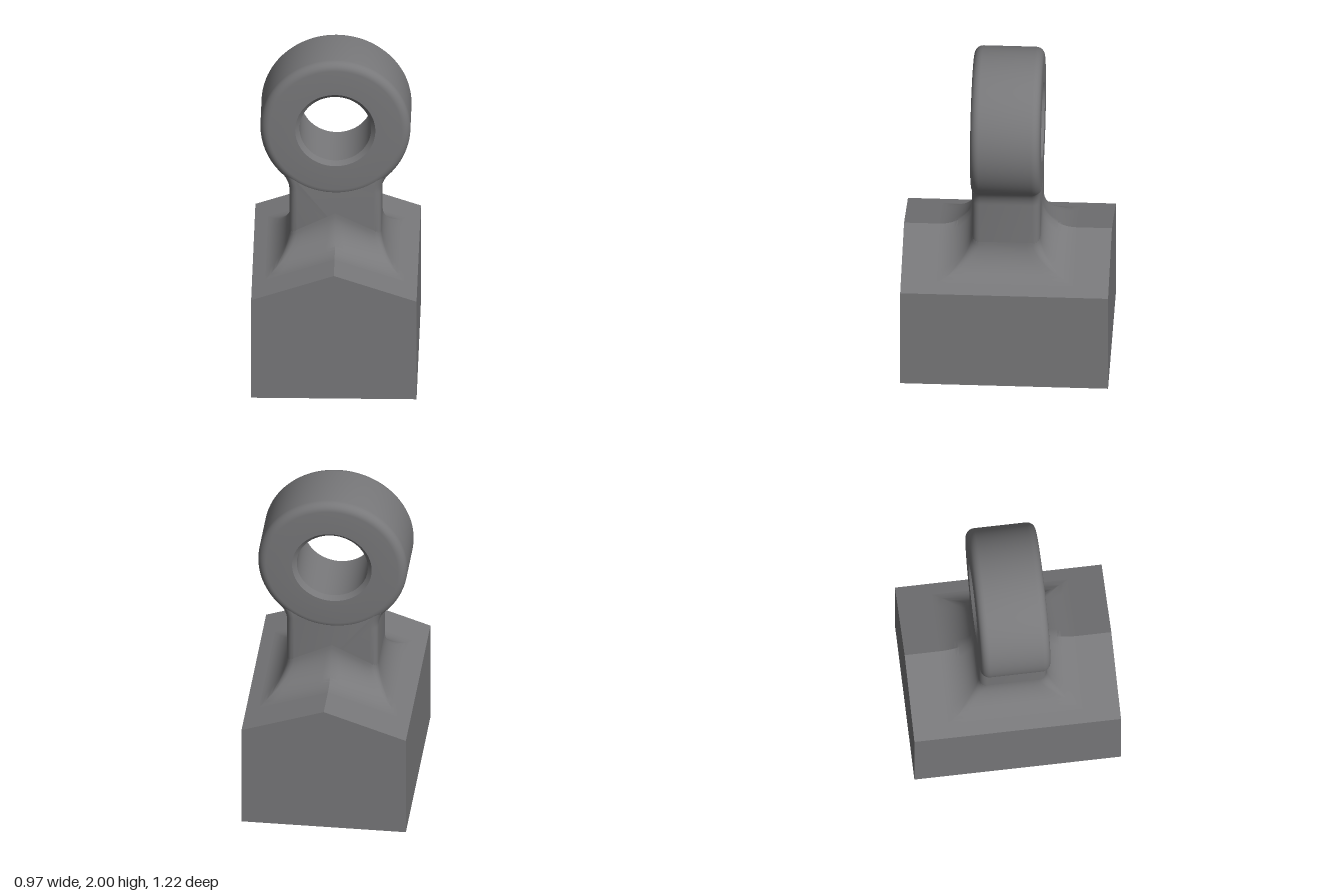
import * as THREE from 'three';
import { toCreasedNormals } from 'three/addons/utils/BufferGeometryUtils.js';

const EYE_Y = 1.56, EYE_R = 0.44, HOLE_R = 0.21, EYE_Z = 0.205;
const NECK_X = 0.27, NECK_Z = 0.2, ROUND = 0.045;
const roof = x => 0.81 - 0.34 * Math.abs(x);

// Block with a gently pitched top
function baseGeometry() {
  const s = new THREE.Shape();
  const w = 0.485;
  s.moveTo(-w, 0);
  s.lineTo(w, 0);
  s.lineTo(w, roof(w));
  s.lineTo(0, roof(0));
  s.lineTo(-w, roof(w));
  s.closePath();
  return new THREE.ExtrudeGeometry(s, { depth: 1.22, bevelEnabled: false }).translate(0, 0, -0.61);
}

// Ring with rounded outer rims and a chamfered hole
function eyeGeometry() {
  const r = 0.05, c = 0.025;
  const pts = [[HOLE_R, -EYE_Z + c], [HOLE_R + c, -EYE_Z]];
  for (const side of [-1, 1]) {
    for (let i = 0; i <= 6; i++) {
      const a = (side < 0 ? i - 6 : i) * Math.PI / 12;
      pts.push([EYE_R - r + r * Math.cos(a), side * (EYE_Z - r) + r * Math.sin(a)]);
    }
  }
  pts.push([HOLE_R + c, EYE_Z], [HOLE_R, EYE_Z - c], [HOLE_R, -EYE_Z + c]);
  const g = new THREE.LatheGeometry(pts.map(p => new THREE.Vector2(...p)), 96);
  return toCreasedNormals(g.rotateX(Math.PI / 2), 0.6);
}

// Shank that curves out to meet the ring
function neckGeometry() {
  const f = 0.16, cy = 1.143, steps = 10, right = [[NECK_X, 0.6]];
  for (let i = 0; i <= steps; i++) {
    const a = Math.PI - 0.77 * i / steps;
    right.push([NECK_X + f + f * Math.cos(a), cy + f * Math.sin(a)]);
  }
  right.push([0.25, 1.285]);
  const left = right.map(([x, y]) => [-x, y]).reverse();
  const s = new THREE.Shape([...right, ...left].map(p => new THREE.Vector2(...p)));
  const g = new THREE.ExtrudeGeometry(s, {
    depth: 2 * (NECK_Z - ROUND), bevelEnabled: true, bevelThickness: ROUND,
    bevelSize: ROUND, bevelOffset: -ROUND, bevelSegments: 5
  });
  return toCreasedNormals(g.translate(0, 0, -(NECK_Z - ROUND)), 0.6);
}

// One rounded rectangle section of the flare, starting at the front centre
function flareSection(a) {
  const out = 1 - Math.cos(a), up = 1 - Math.sin(a);
  const w = NECK_X + 0.136 * out, d = NECK_Z + 0.2 * out;
  const r = Math.max(0.003, ROUND * (1 - 1.3 * out));
  const q = [];
  for (let i = 0; i < 6; i++) q.push([(w - r) * i / 6, d]);
  for (let i = 0; i <= 4; i++) {
    const t = i * Math.PI / 8;
    q.push([w - r + r * Math.sin(t), d - r + r * Math.cos(t)]);
  }
  for (let i = 1; i <= 4; i++) q.push([w, (d - r) * (1 - i / 4)]);
  const half = [...q, ...q.slice(0, -1).reverse().map(([x, z]) => [x, -z])];
  const all = [...half, ...half.slice(1, -1).reverse().map(([x, z]) => [-x, z])];
  return all.map(([x, z]) => [x, roof(x) + (0.2 - 0.04 * Math.abs(x) / w) * up, z]);
}

// Concave skirt blending the shank into the pitched top
function flareGeometry() {
  const rows = 14, pos = [], index = [];
  let n = 0;
  for (let i = 0; i <= rows; i++) {
    const ring = flareSection(i / rows * Math.PI / 2);
    n = ring.length;
    pos.push(...ring.flat());
  }
  for (let i = 0; i < rows; i++) {
    for (let j = 0; j < n; j++) {
      const k = (j + 1) % n;
      const a = i * n + j, b = a + n, c = (i + 1) * n + k, d = i * n + k;
      index.push(a, b, c, a, c, d);
    }
  }
  const g = new THREE.BufferGeometry();
  g.setAttribute('position', new THREE.Float32BufferAttribute(pos, 3));
  g.setIndex(index);
  return toCreasedNormals(g, 0.6);
}

export function createModel() {
  const steel = new THREE.MeshStandardMaterial({ color: 0x78787a });
  steel.name = 'grey steel';
  const group = new THREE.Group();
  group.name = 'liftingEye';
  const add = (name, geometry, y = 0) => {
    const m = new THREE.Mesh(geometry, steel);
    m.name = name;
    m.position.y = y;
    group.add(m);
  };
  add('baseBlock', baseGeometry());
  add('flare', flareGeometry());
  add('neck', neckGeometry());
  add('eyeRing', eyeGeometry(), EYE_Y);
  return group;
}
